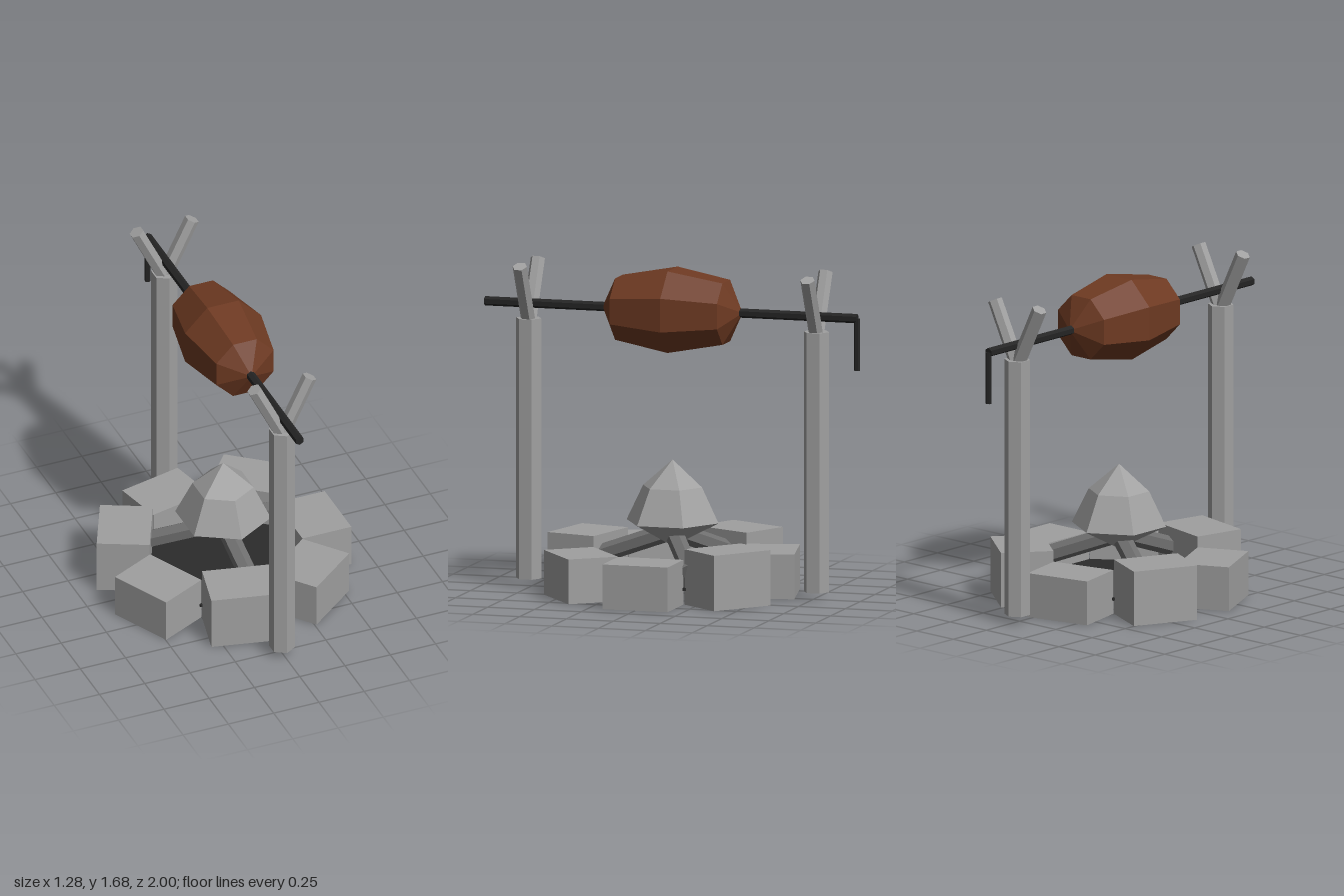
import * as THREE from 'three';

export function createModel() {
  const model = new THREE.Group();
  const material = (name, color) => {
    const m = new THREE.MeshStandardMaterial({ color, flatShading: true });
    m.name = name;
    return m;
  };
  const stoneGrey = material('stone grey', 0xa0a0a0);
  const logGrey = material('log grey', 0x707070);
  const ashBlack = material('ash black', 0x2b2b2b);
  const ironBlack = material('iron black', 0x242424);
  const roastBrown = material('roast brown', 0x6e3a22);

  const add = (name, geometry, mat, x = 0, y = 0, z = 0) => {
    const mesh = new THREE.Mesh(geometry, mat);
    mesh.name = name;
    mesh.position.set(x, y, z);
    model.add(mesh);
    return mesh;
  };
  // Hexagonal bar running between two points
  const bar = (name, from, to, radius, mat, sides = 6) => {
    const a = new THREE.Vector3(...from), b = new THREE.Vector3(...to);
    const dir = b.clone().sub(a);
    const mesh = add(name, new THREE.CylinderGeometry(radius, radius, dir.length(), sides), mat);
    mesh.position.copy(a).add(b).multiplyScalar(0.5);
    mesh.quaternion.setFromUnitVectors(new THREE.Vector3(0, 1, 0), dir.normalize());
    return mesh;
  };
  const lathe = (points, sides) =>
    new THREE.LatheGeometry(points.map(([r, y]) => new THREE.Vector2(r, y)), sides);

  // Ring of seven stones, alternating low and tall
  for (let i = 0; i < 7; i++) {
    const a = ((i + 1) * Math.PI * 2) / 7;
    const h = i % 2 ? 0.285 : 0.23;
    const stone = add('stone', new THREE.BoxGeometry(0.27, h, 0.347), stoneGrey,
      0.5 * Math.cos(a), h / 2, 0.5 * Math.sin(a));
    stone.rotation.y = -a;
  }

  // Seven-sided ash bed with a corner in each gap between stones
  const bed = add('ashBed', new THREE.CylinderGeometry(0.42, 0.42, 0.015, 7), ashBlack, 0, 0.08, 0);
  bed.rotation.y = -Math.PI / 2;

  // Three logs leaning towards the middle
  for (let i = 0; i < 3; i++) {
    const a = (i * Math.PI * 2) / 3;
    bar('log', [0, 0.32, 0], [0.42 * Math.sin(a), 0.17, 0.42 * Math.cos(a)], 0.048, logGrey);
  }

  // Faceted flame
  add('flame', lathe([[0, 0.24], [0.245, 0.367], [0.157, 0.548], [0, 0.685]], 6), stoneGrey);

  // Forked posts at both ends
  for (const z of [0.767, -0.767]) {
    bar('post', [0, 0.04, z], [0, 1.378, z], 0.067, stoneGrey);
    for (const side of [1, -1])
      bar('fork', [0, 1.35, z], [side * 0.153, 1.664, z], 0.038, stoneGrey);
  }

  // Spit rod with a crank hanging at the back
  const axisY = 1.455;
  bar('spit', [0, axisY, -0.985], [0, axisY, 1], 0.024, ironBlack);
  bar('crank', [0, axisY, -0.984], [0, 1.187, -0.984], 0.016, ironBlack);

  // Eight-sided roast along the spit, with flats on top and sides
  const roast = lathe([[0, -0.373], [0.171, -0.286], [0.227, 0], [0.171, 0.286], [0, 0.373]], 8);
  roast.rotateY(Math.PI / 8).rotateX(Math.PI / 2);
  add('roast', roast, roastBrown, 0, axisY, 0);

  return model;
}
